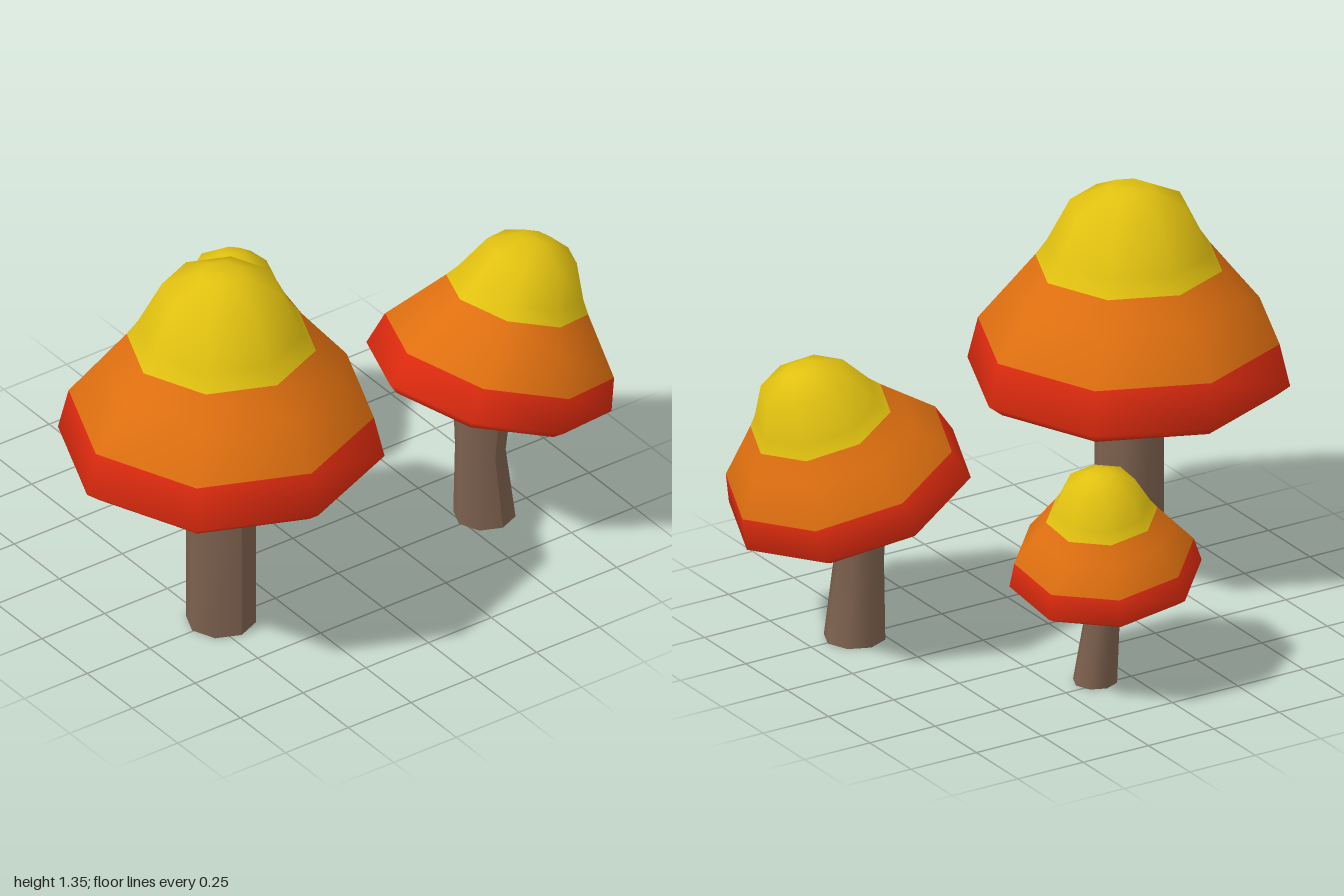
import * as THREE from 'three';

const mat = (name, color) => new THREE.MeshStandardMaterial({ name, color });

// Cap profile as [radius, height above the rim], from the lip up to the crown
const CAP = [[0.485, -0.04], [0.535, 0], [0.5, 0.145], [0.385, 0.29], [0.31, 0.385],
  [0.272, 0.44], [0.195, 0.59], [0.075, 0.65], [0, 0.655]];
const UNDER = [[0, 0], [0.2, -0.01], [0.485, -0.04]];

const lathe = (pts, turn) =>
  new THREE.LatheGeometry(pts.map(([r, y]) => new THREE.Vector2(r, y)), 8, turn);

// Sort a lathe's faces into bands by profile step, one material group per band
function bandGroups(geo, rows, starts) {
  const idx = geo.index.array, bands = starts.map(() => []);
  for (let f = 0; f < idx.length; f += 3) {
    const tri = [idx[f], idx[f + 1], idx[f + 2]];
    const step = Math.min(...tri.map((v) => v % rows));
    let b = 0;
    starts.forEach((s, i) => { if (step >= s) b = i; });
    bands[b].push(...tri);
  }
  geo.setIndex(bands.flat());
  let start = 0;
  bands.forEach((b, i) => { geo.addGroup(start, b.length, i); start += b.length; });
}

// Stem through three rings, each [x, y, z, radius]
function stemGeometry(rings) {
  const geo = new THREE.CylinderGeometry(1, 1, 2, 8, 2);
  const p = geo.attributes.position;
  for (let i = 0; i < p.count; i++) {
    const [x, y, z, r] = rings[Math.round(p.getY(i)) + 1];
    p.setXYZ(i, x + p.getX(i) * r, y, z + p.getZ(i) * r);
  }
  geo.computeVertexNormals();
  return geo;
}

export function createModel() {
  const red = mat('red', 0xdb2a0e);
  const orange = mat('orange', 0xe07010);
  const yellow = mat('yellow', 0xe0c010);
  const brown = mat('brown', 0x7d614e);

  const specs = [
    { name: 'largeMushroom', at: [-0.462, 0.69, 0.245], scale: 1, tilt: [0, 0], lean: 0, turn: 0,
      stem: [[-0.463, 0, 0.245, 0.115], [-0.463, 0.36, 0.245, 0.115], [-0.463, 0.72, 0.245, 0.115]] },
    { name: 'mediumMushroom', at: [0.605, 0.525, 0.245], scale: 0.77, tilt: [0, -0.297], lean: 0.09, turn: 0,
      stem: [[0.587, 0, 0.245, 0.102], [0.567, 0.27, 0.25, 0.083], [0.585, 0.57, 0.245, 0.105]] },
    { name: 'smallMushroom', at: [0.095, 0.385, -0.495], scale: 0.59, tilt: [-0.12, -0.14], lean: 0, turn: Math.PI / 8,
      stem: [[0.118, 0, -0.468, 0.073], [0.1, 0.2, -0.478, 0.06], [0.105, 0.41, -0.48, 0.073]] },
  ];

  const model = new THREE.Group();
  for (const s of specs) {
    const mushroom = new THREE.Group();
    mushroom.name = s.name;

    const stem = new THREE.Mesh(stemGeometry(s.stem), brown);
    stem.name = 'stem';

    // Tilted cap with colour bands and a shallow hollow underside
    const cap = new THREE.Group();
    cap.name = 'cap';
    const top = lathe(CAP, s.turn), under = lathe(UNDER, s.turn);
    bandGroups(top, CAP.length, [0, 2, 4]);
    const shear = new THREE.Matrix4().makeShear(0, 0, s.lean, 0, 0, 0);
    [top, under].forEach((g) => g.applyMatrix4(shear));
    const topMesh = new THREE.Mesh(top, [red, orange, yellow]);
    topMesh.name = 'capTop';
    const underMesh = new THREE.Mesh(under, red);
    underMesh.name = 'capUnderside';
    cap.add(topMesh, underMesh);
    cap.position.set(...s.at);
    cap.rotation.set(s.tilt[0], 0, s.tilt[1]);
    cap.scale.setScalar(s.scale);

    mushroom.add(stem, cap);
    model.add(mushroom);
  }
  return model;
}
